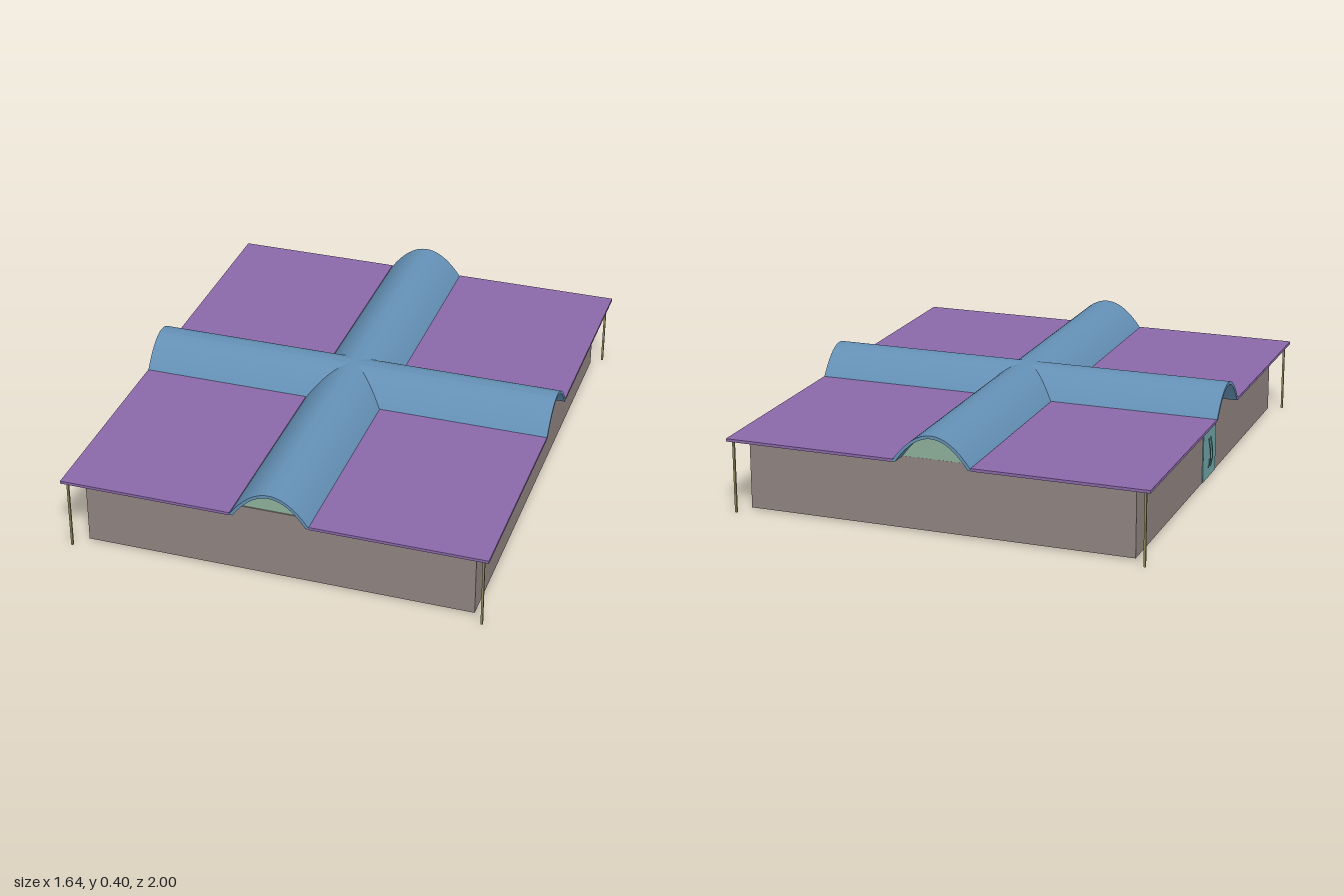
import * as THREE from 'three';
import { toCreasedNormals } from 'three/addons/utils/BufferGeometryUtils.js';

const EAVE = 0.283;
const mat = (color) => new THREE.MeshStandardMaterial({ color, side: THREE.DoubleSide });

// Points of a parabolic arch, from left foot to right foot
function archPoints(halfWidth, rise, steps = 32) {
  const pts = [];
  for (let i = 0; i <= steps; i++) {
    const t = (i / steps) * 2 - 1;
    pts.push(new THREE.Vector2(t * halfWidth, rise * (1 - t * t)));
  }
  return pts;
}

// One arm of the cross vault, mitred at the centre along the groins
function vaultArm(length) {
  const shape = new THREE.Shape([
    ...archPoints(0.155, 0.113),
    ...archPoints(0.14, 0.101).reverse(),
  ]);
  const geo = new THREE.ExtrudeGeometry(shape, { depth: length, bevelEnabled: false });
  const p = geo.attributes.position;
  for (let i = 0; i < p.count; i++) {
    if (p.getZ(i) < 1e-6) p.setZ(i, Math.abs(p.getX(i)));
  }
  return toCreasedNormals(geo, 0.5);
}

export function createModel() {
  const group = new THREE.Group();
  const wallMat = mat(0x8f8380), roofMat = mat(0x8a68a8), vaultMat = mat(0x6490b5);
  const lunetteMat = mat(0x8db09a), postMat = mat(0x8a8658), doorMat = mat(0x6fa5a5);

  function add(name, geo, material, x = 0, y = 0, z = 0, parent = group) {
    const mesh = new THREE.Mesh(geo, material);
    mesh.name = name;
    mesh.position.set(x, y, z);
    parent.add(mesh);
    return mesh;
  }
  const box = (name, m, w, h, d, x, y, z, parent) =>
    add(name, new THREE.BoxGeometry(w, h, d), m, x, y, z, parent);

  // Main hall block
  box('hall', wallMat, 1.507, 0.277, 1.865, 0.005, 0.1445, 0.002);

  // Four roof panels and corner posts
  for (const sx of [-1, 1]) {
    for (const sz of [-1, 1]) {
      box('roofPanel', roofMat, 0.668, 0.011, 0.848, sx * 0.486, 0.2865, sz * 0.576);
      box('cornerPost', postMat, 0.008, EAVE, 0.008, sx * 0.798, EAVE / 2, sz * 0.982);
    }
  }

  // Crossing barrel vaults with a lunette closing each end above the wall
  const lunetteGeo = new THREE.ExtrudeGeometry(new THREE.Shape(archPoints(0.14, 0.101)), {
    depth: 0.01,
    bevelEnabled: false,
  });
  for (let i = 0; i < 4; i++) {
    const alongZ = i % 2 === 0;
    const arm = new THREE.Group();
    arm.name = 'vault';
    arm.rotation.y = (i * Math.PI) / 2;
    arm.position.y = EAVE;
    group.add(arm);
    add('vaultShell', vaultArm(alongZ ? 1 : 0.82), vaultMat, 0, 0, 0, arm);
    add('lunette', lunetteGeo, lunetteMat, 0, 0, alongZ ? 0.92 : 0.74, arm);
  }

  // Double door on the right wall, with bowed pull handles
  const door = new THREE.Group();
  door.name = 'door';
  door.position.set(-0.749, 0, 0);
  group.add(door);
  for (const s of [-1, 1]) {
    box('doorLeaf', doorMat, 0.004, 0.19, 0.086, -0.001, 0.102, s * 0.044, door);
    const bow = new THREE.QuadraticBezierCurve3(
      new THREE.Vector3(-0.002, 0.045, s * 0.014),
      new THREE.Vector3(-0.022, 0.085, s * 0.014),
      new THREE.Vector3(-0.002, 0.17, s * 0.014)
    );
    add('doorHandle', new THREE.TubeGeometry(bow, 12, 0.002, 6), doorMat, 0, 0, 0, door);
  }
  return group;
}
